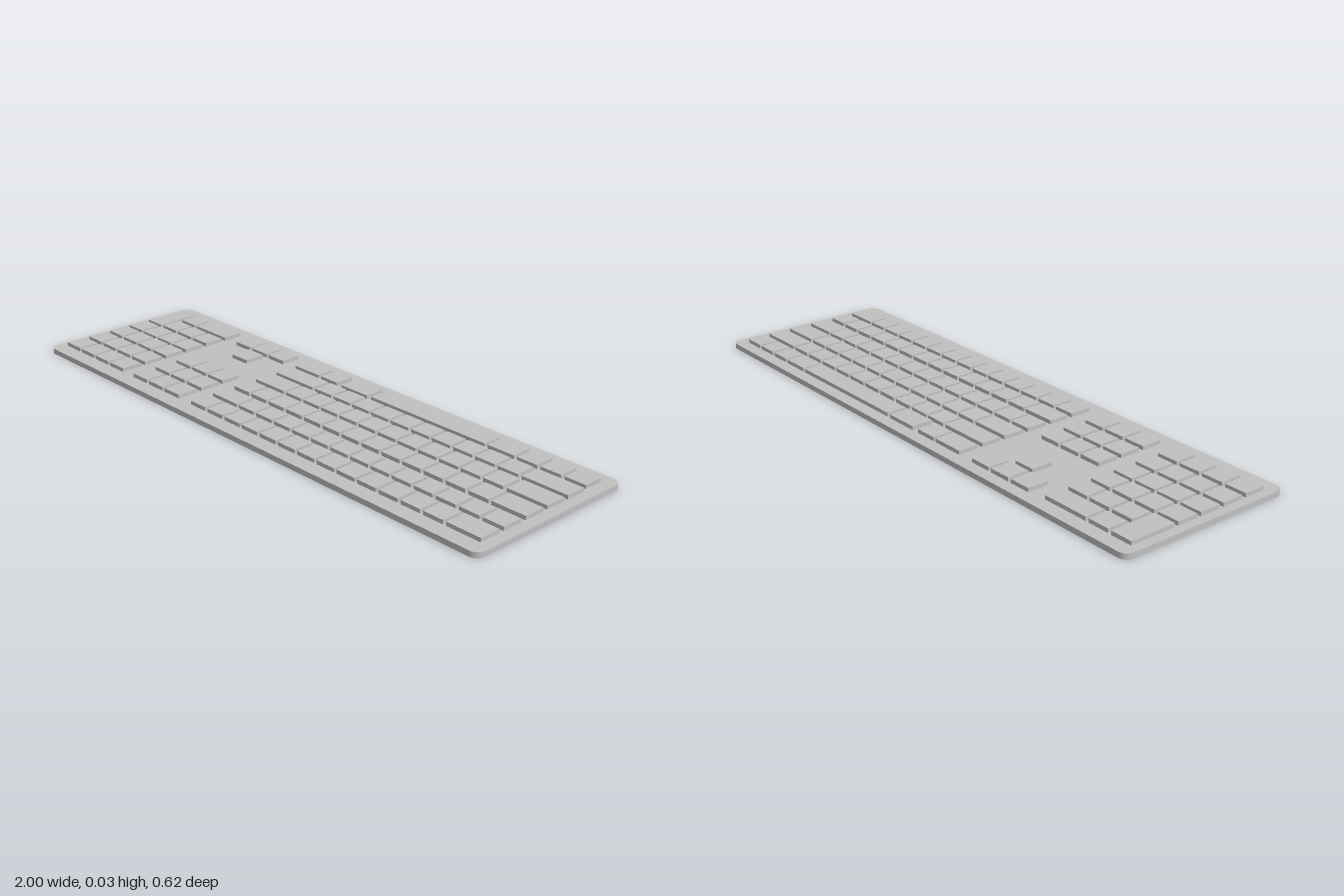
import * as THREE from 'three';

const BODY_TOP = 0.018, KEY_TOP = 0.031, GAP = 0.0115, DEPTH = 0.074;

export function createModel() {
  const model = new THREE.Group();
  model.name = 'keyboard';
  const grey = new THREE.MeshStandardMaterial({ color: 0xc0c0be });
  grey.name = 'light grey';

  // flat base plate with rounded corners
  const w = 1, d = 0.308, r = 0.03;
  const outline = new THREE.Shape();
  outline.absarc(w - r, d - r, r, 0, Math.PI / 2);
  outline.absarc(-w + r, d - r, r, Math.PI / 2, Math.PI);
  outline.absarc(-w + r, -d + r, r, Math.PI, Math.PI * 1.5);
  outline.absarc(w - r, -d + r, r, Math.PI * 1.5, Math.PI * 2);
  outline.closePath();
  const plate = new THREE.ExtrudeGeometry(outline, { depth: BODY_TOP, bevelEnabled: false, curveSegments: 8 });
  plate.rotateX(-Math.PI / 2);
  const base = new THREE.Mesh(plate, grey);
  base.name = 'basePlate';
  model.add(base);

  // one row of keys: each run is [left, right, number of equal keys]
  function addRow(block, z, runs, depth = DEPTH) {
    for (const [x0, x1, count = 1] of runs) {
      const pitch = (x1 - x0 + GAP) / count;
      for (let i = 0; i < count; i++) {
        const key = new THREE.Mesh(new THREE.BoxGeometry(pitch - GAP, KEY_TOP - BODY_TOP, depth), grey);
        key.name = 'key';
        key.position.set(x0 + pitch * i + (pitch - GAP) / 2, (BODY_TOP + KEY_TOP) / 2, z);
        block.add(key);
      }
    }
  }

  function addBlock(name, rows) {
    const block = new THREE.Group();
    block.name = name;
    for (const [z, runs, depth] of rows) addRow(block, z, runs, depth);
    model.add(block);
  }

  // main typing area, space bar row first
  addBlock('mainKeys', [
    [-0.23, [[-0.26, -0.146], [-0.134, -0.057], [0.104, 0.585], [0.596, 0.698], [0.709, 0.957, 3]], 0.07],
    [-0.229, [[-0.03, 0.088]]],
    [-0.143, [[-0.26, -0.08], [-0.067, 0.785, 10], [0.799, 0.963]], 0.07],
    [-0.055, [[-0.26, -0.12], [-0.109, 0.806, 11], [0.82, 0.963]]],
    [0.036, [[-0.26, 0.832, 13], [0.842, 0.963]]],
    [0.128, [[-0.26, -0.14], [-0.13, 0.963, 13]], 0.07],
    [0.217, [[-0.26, 0.831, 13], [0.842, 0.963]]],
  ]);

  // arrow and navigation keys
  const nav = [[-0.573, -0.324, 3]];
  addBlock('navigationKeys', [
    [-0.23, nav], [-0.141, [[-0.487, -0.412]]],
    [0.036, nav], [0.126, nav], [0.217, nav],
  ]);

  // number pad with a tall and a wide key
  const pad = [[-0.97, -0.634, 4]];
  addBlock('numberPad', [
    [-0.18, [[-0.97, -0.895]], 0.16],
    [-0.224, [[-0.883, -0.809], [-0.797, -0.634]], 0.07],
    [-0.138, [[-0.883, -0.634, 3]], 0.07],
    [-0.05, pad], [0.037, pad], [0.126, pad], [0.217, pad],
  ]);

  return model;
}
